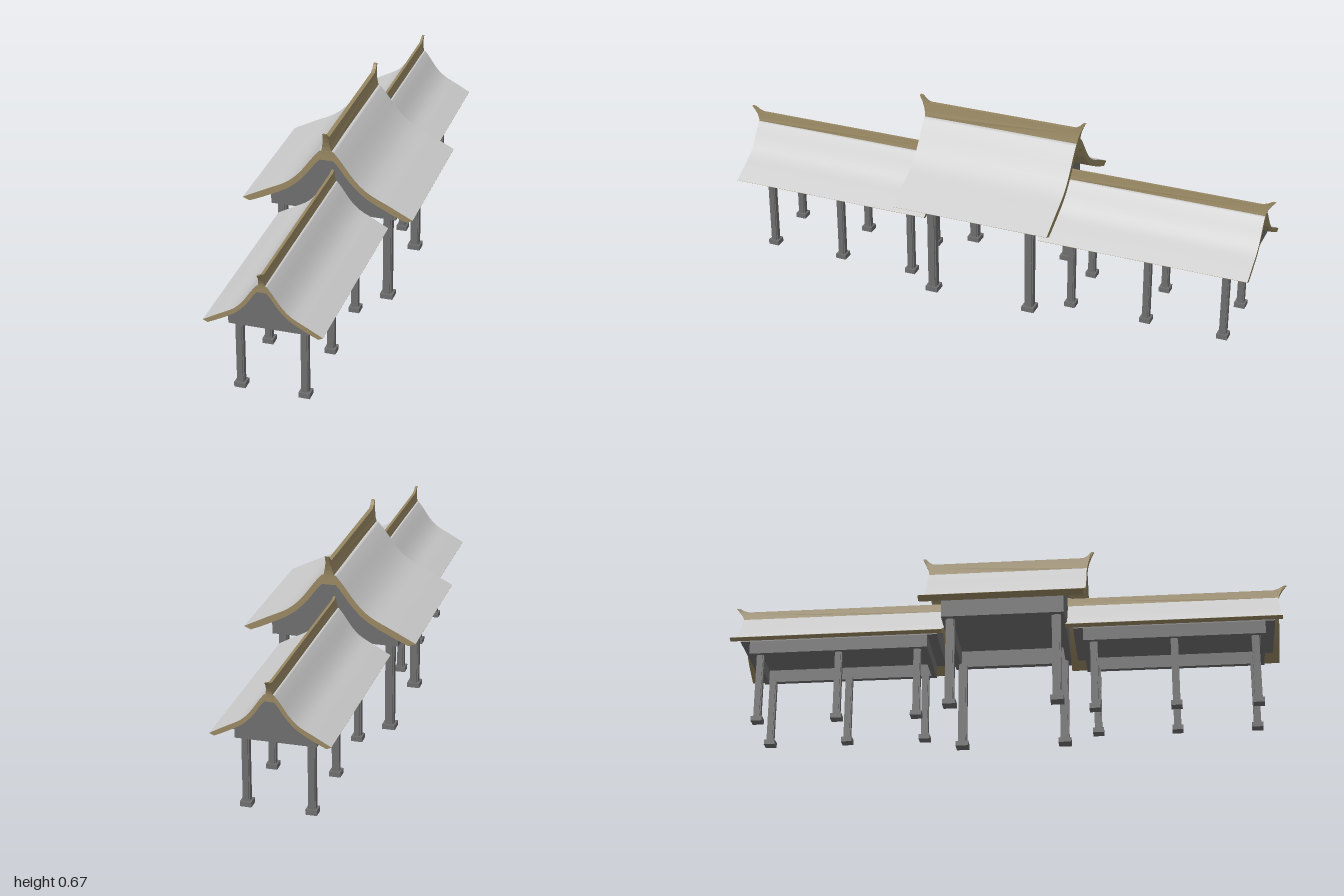
import * as THREE from 'three';

const grey = new THREE.MeshStandardMaterial({ color: 0xcccccc, side: THREE.DoubleSide });
const stone = new THREE.MeshStandardMaterial({ color: 0x6e6e6e });
const trim = new THREE.MeshStandardMaterial({ color: 0x978762 });

// Half profile of the curved roof, eave to ridge
const EAVE = 0.373;
const outer = new THREE.SplineCurve([[0.307, 0.373], [0.225, 0.415], [0.15, 0.453], [0.1, 0.497],
  [0.05, 0.563], [0.024, 0.594]].map(p => new THREE.Vector2(...p))).getPoints(20);
const inner = new THREE.SplineCurve([[0.283, 0.363], [0.227, 0.388], [0.14, 0.434], [0.085, 0.484],
  [0.045, 0.536], [0.024, 0.56]].map(p => new THREE.Vector2(...p))).getPoints(20);

const mirrored = pts => [...pts, ...[...pts].reverse().map(p => new THREE.Vector2(-p.x, p.y))];

function add(group, name, geometry, material, x = 0, y = 0, z = 0) {
  const mesh = new THREE.Mesh(geometry, material);
  mesh.name = name;
  mesh.position.set(x, y, z);
  group.add(mesh);
}

// Extrusion centred on its depth
function extrude(shape, depth) {
  return new THREE.ExtrudeGeometry(shape, { depth, bevelEnabled: false }).translate(0, 0, -depth / 2);
}

function rectangle(w, d, Kind = THREE.Shape) {
  return new Kind([[-w, -d], [w, -d], [w, d], [-w, d]].map(p => new THREE.Vector2(p[0] / 2, p[1] / 2)));
}

// Smooth open sheet following a profile along z
function sheet(profile, depth) {
  const geometry = new THREE.PlaneGeometry(1, 1, profile.length - 1, 1);
  const pos = geometry.attributes.position;
  for (let i = 0; i < pos.count; i++) {
    const p = profile[i % profile.length];
    pos.setXYZ(i, p.x, p.y, i < profile.length ? -depth / 2 : depth / 2);
  }
  geometry.computeVertexNormals();
  return geometry;
}

// Square post with notched corners
function post(width, height) {
  const a = width / 2, b = a * 0.7;
  const shape = new THREE.Shape([[a, -b], [a, b], [b, b], [b, a], [-b, a], [-b, b],
    [-a, b], [-a, -b], [-b, -b], [-b, -a], [b, -a], [b, -b]].map(p => new THREE.Vector2(...p)));
  return extrude(shape, height).rotateX(-Math.PI / 2);
}

// Ridge with upturned ends, narrowing in a hollow curve towards the top
function ridgeGeometry(half, tip, sx, sy, baseY) {
  const end = [[0, -0.012], [0.02, 0.004], [0.1, 0.018], [0.3, 0.036], [0.62, 0.056], [1, 0.076],
    [0.6, 0.074], [0.1, 0.06], [-0.5, 0.051]]
    .map(([u, h]) => new THREE.Vector2(half + u * tip, baseY + h * sy));
  const geometry = extrude(new THREE.Shape(mirrored(end)), 1).rotateY(-Math.PI / 2);
  const pos = geometry.attributes.position;
  for (let i = 0; i < pos.count; i++) {
    const t = THREE.MathUtils.clamp((pos.getY(i) - baseY) / (0.06 * sy), 0, 1);
    const w = (0.0065 + 0.0125 * (1 - t) ** 1.4) * sx;
    pos.setX(i, Math.sign(pos.getX(i)) * w);
  }
  geometry.computeVertexNormals();
  return geometry;
}

function pavilion(name, o) {
  const group = new THREE.Group();
  group.name = name;
  const fit = pts => pts.map(p => new THREE.Vector2(p.x * o.sx, o.eave + (p.y - EAVE) * o.sy));
  const top = fit(outer), under = fit(inner);

  // Roof: trimmed slab with a smooth tiled surface on top
  const slab = new THREE.Shape([...mirrored(top), ...mirrored(under).reverse()]);
  add(group, 'roofSlab', extrude(slab, o.roofHalf * 2), trim);
  const skin = mirrored(top).reverse();
  add(group, 'roofSurface', sheet(skin, o.roofHalf * 2), grey, 0, 0.001);
  add(group, 'ridge', ridgeGeometry(o.roofHalf, o.tip, o.sx, o.sy, top.at(-1).y), trim);

  // Gable walls and flat ceiling under the roof
  const wall = [new THREE.Vector2(o.beamX, o.beamTop), ...under.filter(p => p.x < o.beamX)];
  add(group, 'gable', extrude(new THREE.Shape(mirrored(wall)), o.gableHalf * 2), stone);

  // Ring of beams
  const ring = rectangle(o.beamX * 2, o.beamHalf * 2);
  ring.holes.push(rectangle(o.beamX * 2 - o.beamWidth * 2, o.beamHalf * 2 - o.beamWidth * 2, THREE.Path));
  const beamHeight = o.beamTop - o.beamBottom;
  add(group, 'beamFrame', extrude(ring, beamHeight).rotateX(-Math.PI / 2), stone,
    0, o.beamBottom + beamHeight / 2);

  // Columns on square footings
  for (const x of [-o.postX, o.postX]) {
    for (const z of o.postZ) {
      add(group, 'column', post(o.postWidth, o.beamBottom), stone, x, o.beamBottom / 2, z);
      add(group, 'footing', new THREE.BoxGeometry(o.foot, 0.018, o.foot), stone, x, 0.009, z);
    }
  }
  return group;
}

export function createModel() {
  const model = new THREE.Group();
  model.name = 'coveredWalkway';

  model.add(pavilion('centrePavilion', {
    sx: 1, sy: 1, eave: 0.373, roofHalf: 0.288, tip: 0.025, gableHalf: 0.215,
    beamX: 0.228, beamHalf: 0.215, beamWidth: 0.022, beamBottom: 0.325, beamTop: 0.388,
    postX: 0.194, postZ: [-0.185, 0.187], postWidth: 0.032, foot: 0.046,
  }));

  for (const side of [1, -1]) {
    const wing = pavilion(side > 0 ? 'frontWing' : 'backWing', {
      sx: 0.656, sy: 0.71, eave: 0.29, roofHalf: 0.376, tip: 0.031, gableHalf: 0.352,
      beamX: 0.137, beamHalf: 0.318, beamWidth: 0.018, beamBottom: 0.255, beamTop: 0.302,
      postX: 0.111, postZ: [-0.281, 0, 0.281], postWidth: 0.026, foot: 0.039,
    });
    wing.position.z = side * 0.593;
    model.add(wing);
  }
  return model;
}
